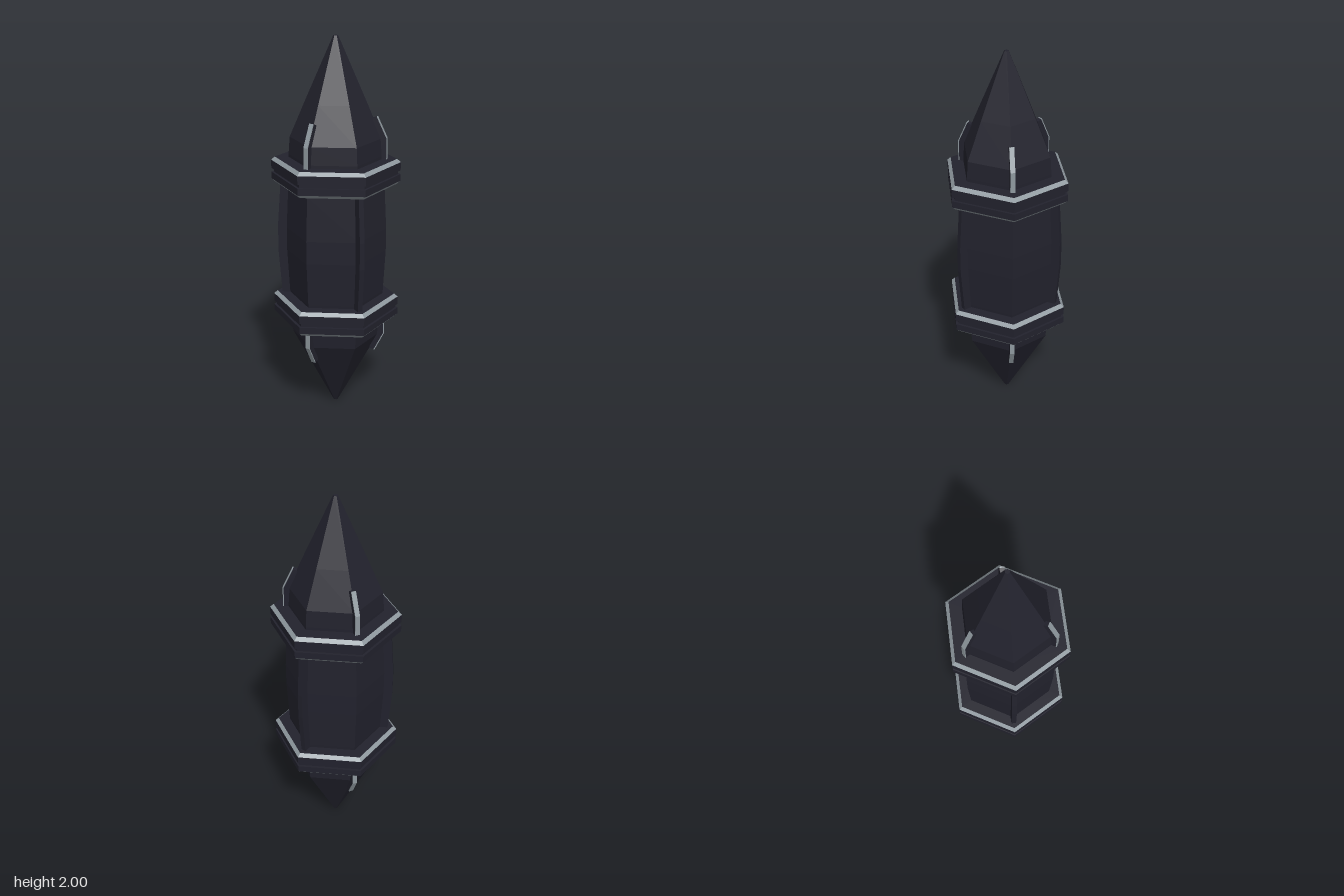
import * as THREE from 'three';

export function createModel() {
  const model = new THREE.Group();
  const dark = new THREE.MeshStandardMaterial({ color: 0x22222d });
  dark.name = 'dark stone';
  const steel = new THREE.MeshStandardMaterial({ color: 0x8f999f });
  steel.name = 'grey steel';

  // Flat-faced mesh with a name
  function add(name, geometry, material, parent = model) {
    const flat = geometry.index ? geometry.toNonIndexed() : geometry;
    flat.computeVertexNormals();
    const mesh = new THREE.Mesh(flat, material);
    mesh.name = name;
    parent.add(mesh);
    return mesh;
  }
  const vectors = (points) => points.map(([r, y]) => new THREE.Vector2(r, y));

  // Six-sided solid of revolution, with corners on +z and -z; points run upward
  const hex = (points) => new THREE.LatheGeometry(vectors(points), 6);

  // Upright slab drawn in (radius, height), turned to face an angle around y
  function slab(points, width, angle) {
    const geometry = new THREE.ExtrudeGeometry(new THREE.Shape(vectors(points)), {
      depth: width, bevelEnabled: false,
    });
    geometry.translate(0, 0, -width / 2);
    return geometry.rotateY(angle - Math.PI / 2);
  }

  // Pointed ends and swelling middle
  add('upperPoint', hex([[0, 1.3], [0.24, 1.3], [0.24, 1.4], [0.233, 1.49],
    [0.152, 1.68], [0.012, 2], [0, 2]]), dark);
  add('core', hex([[0.243, 0.6], [0.25, 0.66], [0.262, 0.89], [0.262, 1.01],
    [0.25, 1.24], [0.243, 1.3]]), dark);
  add('lowerPoint', hex([[0, 0], [0.012, 0], [0.23, 0.41], [0.24, 0.5],
    [0.24, 0.6], [0, 0.6]]), dark);

  // Grooved collars with steel bevels above and below
  for (const [name, y] of [['upperCollar', 1.319], ['lowerCollar', 0.579]]) {
    const collar = new THREE.Group();
    collar.name = name;
    collar.position.y = y;
    model.add(collar);
    add('collarBody', hex([[0.33, -0.049], [0.33, -0.014], [0.316, -0.014],
      [0.316, 0.006], [0.33, 0.006], [0.33, 0.049]]), dark, collar);
    add('collarTop', hex([[0.311, 0.066], [0.2, 0.066]]), dark, collar);
    add('collarBottom', hex([[0.2, -0.066], [0.311, -0.066]]), dark, collar);
    add('topBevel', hex([[0.33, 0.049], [0.311, 0.066]]), steel, collar);
    add('bottomBevel', hex([[0.311, -0.066], [0.33, -0.049]]), steel, collar);
  }

  for (let i = 0; i < 3; i++) {
    const strutAngle = (i * 2 * Math.PI) / 3;
    const finAngle = strutAngle + Math.PI / 3;

    // Strut along every other corner of the core
    add('strut', slab([[0.22, 0.6], [0.281, 0.62], [0.3, 0.88], [0.3, 1.02],
      [0.281, 1.28], [0.22, 1.3]], 0.026, strutAngle), dark);

    // Fins on the remaining corners, with steel outer edges
    for (const [name, base, step] of [['upperFin', 1.385, 1], ['lowerFin', 0.513, -0.91]]) {
      const at = (r, h) => [r, base + h * step];
      add(name, slab([at(0.17, -0.02), at(0.256, -0.02), at(0.256, 0.105),
        at(0.206, 0.215), at(0.186, 0.208), at(0.17, 0.1)], 0.024, finAngle), dark);
      add(name + 'Edge', slab([at(0.256, -0.02), at(0.261, -0.02), at(0.261, 0.106),
        at(0.211, 0.217), at(0.206, 0.215), at(0.256, 0.105)], 0.024, finAngle), steel);
    }
  }
  return model;
}
